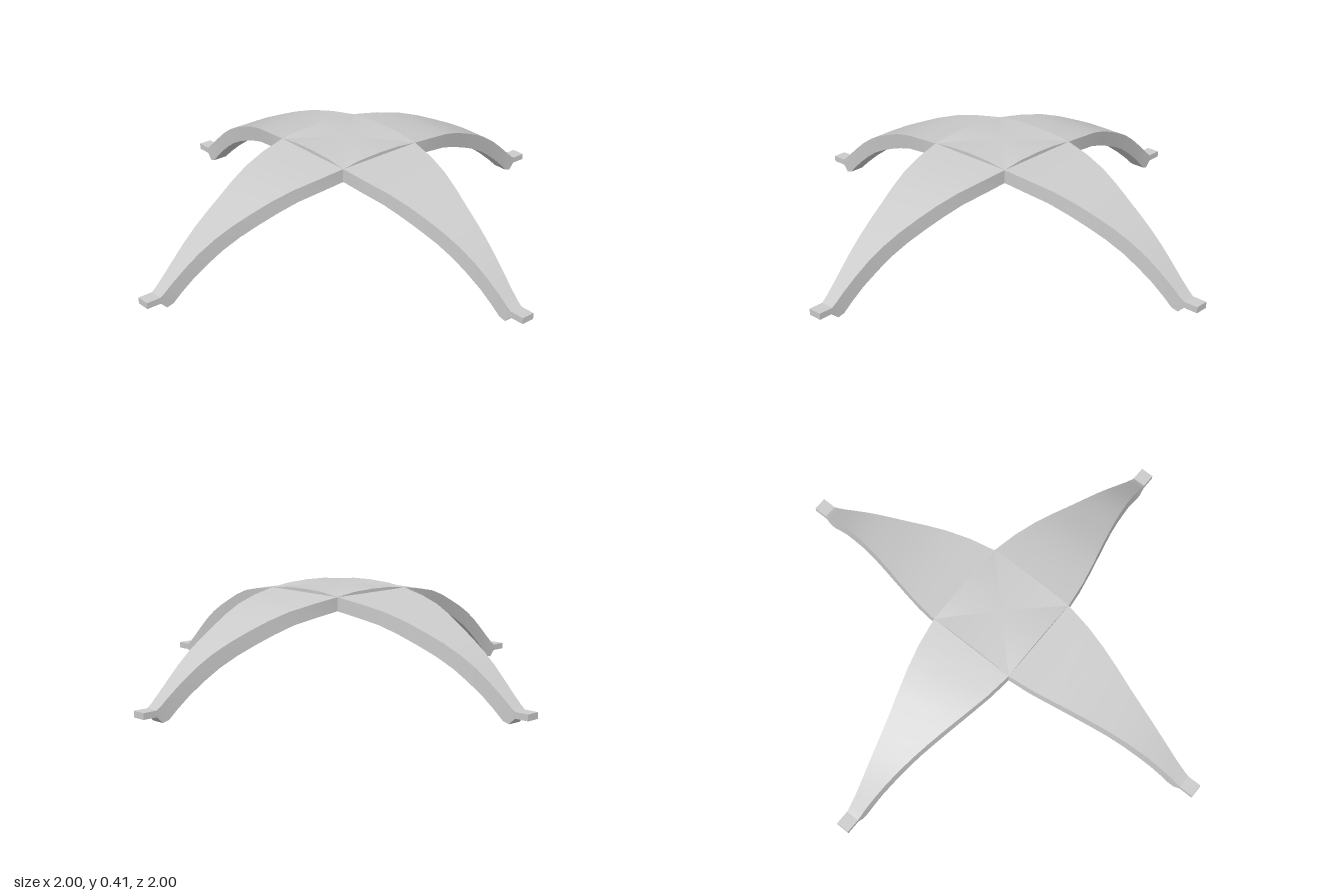
import * as THREE from 'three';
import { toCreasedNormals } from 'three/addons/utils/BufferGeometryUtils.js';

// Half of the arch profile: [top distance, top height, underside distance, underside height]
const PROFILE = [
  [0.00, 0.415, 0.00, 0.358], [0.10, 0.412, 0.09, 0.355], [0.19, 0.401, 0.18, 0.347],
  [0.30, 0.384, 0.28, 0.331], [0.40, 0.363, 0.38, 0.310], [0.487, 0.334, 0.46, 0.281],
  [0.567, 0.300, 0.535, 0.249], [0.64, 0.267, 0.61, 0.214], [0.71, 0.230, 0.68, 0.176],
  [0.775, 0.187, 0.74, 0.135], [0.834, 0.140, 0.80, 0.089], [0.885, 0.096, 0.85, 0.045],
  [0.90, 0.083, 0.888, 0.008], [0.92, 0.065, 0.915, 0.00],
  [0.94, 0.050, 0.94, 0.025], [1.00, 0.050, 1.00, 0.025],
];

// Plan half-width by distance from the centre
const WIDTHS = [[0, 0.187], [0.19, 0.187], [0.3, 0.17], [0.4, 0.146], [0.5, 0.118],
  [0.6, 0.09], [0.7, 0.067], [0.8, 0.046], [0.88, 0.033], [0.94, 0.028], [1, 0.028]];

function halfWidth(r) {
  const d = Math.min(Math.abs(r), 1);
  const i = Math.max(1, WIDTHS.findIndex(([x]) => x >= d));
  const [x0, w0] = WIDTHS[i - 1], [x1, w1] = WIDTHS[i];
  return w0 + (w1 - w0) * (d - x0) / (x1 - x0);
}

// Arch running along x from foot to foot, as a loft of four-cornered sections
function archGeometry() {
  const mirrored = PROFILE.slice(1).reverse().map(([a, b, c, d]) => [-a, b, -c, d]);
  const stations = [...mirrored, ...PROFILE];
  const pos = [], index = [];
  for (const [tx, ty, bx, by] of stations) {
    const tw = halfWidth(tx), bw = halfWidth(bx);
    pos.push(tx, ty, tw, tx, ty, -tw, bx, by, -bw, bx, by, bw);
  }
  const last = (stations.length - 1) * 4;
  for (let s = 0; s < last; s += 4) {
    for (let k = 0; k < 4; k++) {
      const a = s + k, b = s + (k + 1) % 4;
      index.push(a, a + 4, b, b, a + 4, b + 4);
    }
  }
  // end faces of the feet
  index.push(0, 1, 2, 0, 2, 3, last, last + 2, last + 1, last, last + 3, last + 2);
  const geo = new THREE.BufferGeometry();
  geo.setAttribute('position', new THREE.Float32BufferAttribute(pos, 3));
  geo.setIndex(index);
  return toCreasedNormals(geo, 0.3);
}

export function createModel() {
  const group = new THREE.Group();
  group.name = 'crossedArchBase';
  const material = new THREE.MeshStandardMaterial({ color: 0xcccccc });
  const geometry = archGeometry();
  // two identical arches crossing at the crown
  ['sideArch', 'frontBackArch'].forEach((name, i) => {
    const arch = new THREE.Mesh(geometry, material);
    arch.name = name;
    arch.rotation.y = i * Math.PI / 2;
    group.add(arch);
  });
  return group;
}
